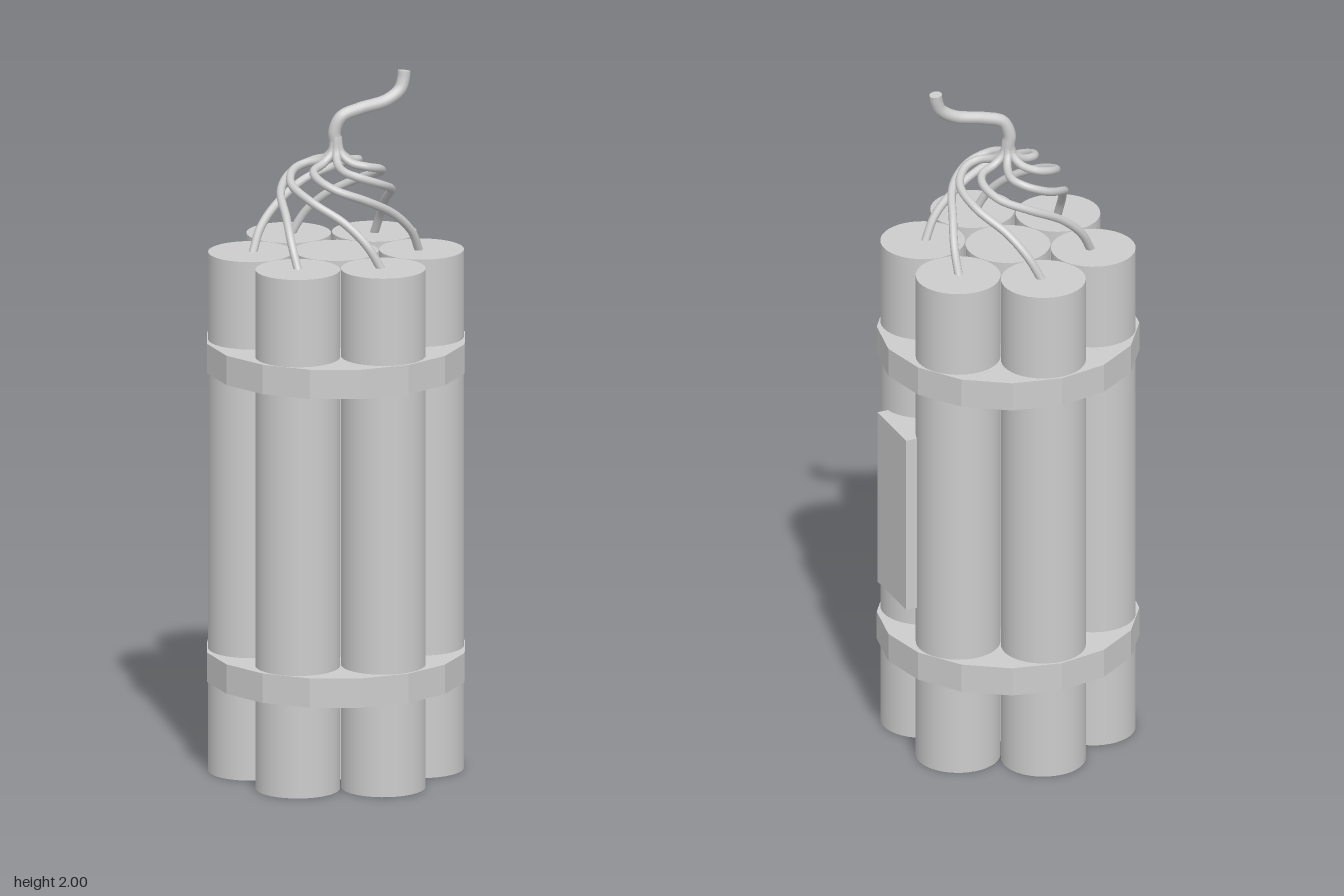
import * as THREE from 'three';

const grey = new THREE.MeshStandardMaterial({ color: 0xcccccc });
const greyFlat = new THREE.MeshStandardMaterial({ color: 0xcccccc, flatShading: true });

function part(parent, name, geometry, x = 0, y = 0, z = 0, material = grey) {
  const mesh = new THREE.Mesh(geometry, material);
  mesh.name = name;
  mesh.position.set(x, y, z);
  parent.add(mesh);
  return mesh;
}

export function createModel() {
  const model = new THREE.Group();
  model.name = 'stickBundle';

  // Seven sticks: one in the middle, six around it
  const stick = new THREE.CylinderGeometry(0.119, 0.119, 1.5, 40);
  part(model, 'centreStick', stick, 0, 0.75, 0);
  for (let i = 0; i < 6; i++) {
    const a = Math.PI / 6 + i * Math.PI / 3;
    part(model, 'outerStick', stick, 0.24 * Math.cos(a), 0.75, 0.24 * Math.sin(a));
  }

  // Two faceted straps
  const strap = new THREE.CylinderGeometry(0.368, 0.368, 0.085, 16);
  for (const y of [0.312, 1.205]) part(model, 'strap', strap, 0, y, 0, greyFlat);

  // Side plate
  part(model, 'sidePlate', new THREE.BoxGeometry(0.157, 0.53, 0.196), 0.279, 0.737, 0, greyFlat);

  // Six wires spiralling in to the neck: [degrees turned, radius, height]
  const spiral = [
    [0, 0.235, 1.49], [9, 0.213, 1.56], [25, 0.177, 1.62], [60, 0.155, 1.675],
    [94, 0.144, 1.71], [120, 0.12, 1.735], [137, 0.09, 1.747], [146, 0.045, 1.758],
    [150, 0.014, 1.785], [150, 0.005, 1.83],
  ];
  const wire = new THREE.TubeGeometry(new THREE.CatmullRomCurve3(spiral.map(([deg, r, y]) => {
    const a = THREE.MathUtils.degToRad(deg);
    return new THREE.Vector3(r * Math.cos(a), y, r * Math.sin(a));
  })), 64, 0.012, 10);
  for (let i = 0; i < 6; i++) {
    part(model, 'wire', wire).rotation.y = -Math.PI / 6 - i * Math.PI / 3;
  }

  // Fuse rising from the neck, closed at both ends
  const path = new THREE.CatmullRomCurve3([
    [0, 1.77, 0], [0, 1.81, -0.002], [-0.003, 1.845, -0.003], [0.015, 1.885, 0.004],
    [0.07, 1.903, 0.014], [0.15, 1.918, 0.027], [0.193, 1.945, 0.032],
    [0.206, 1.975, 0.031], [0.209, 1.997, 0.03],
  ].map((p) => new THREE.Vector3(...p)));
  part(model, 'fuse', new THREE.TubeGeometry(path, 60, 0.018, 14));
  for (const t of [0, 1]) {
    const p = path.getPoint(t);
    const out = path.getTangent(t).multiplyScalar(t ? 1 : -1);
    part(model, 'fuseEnd', new THREE.CircleGeometry(0.018, 14), p.x, p.y, p.z)
      .quaternion.setFromUnitVectors(new THREE.Vector3(0, 0, 1), out);
  }
  return model;
}
